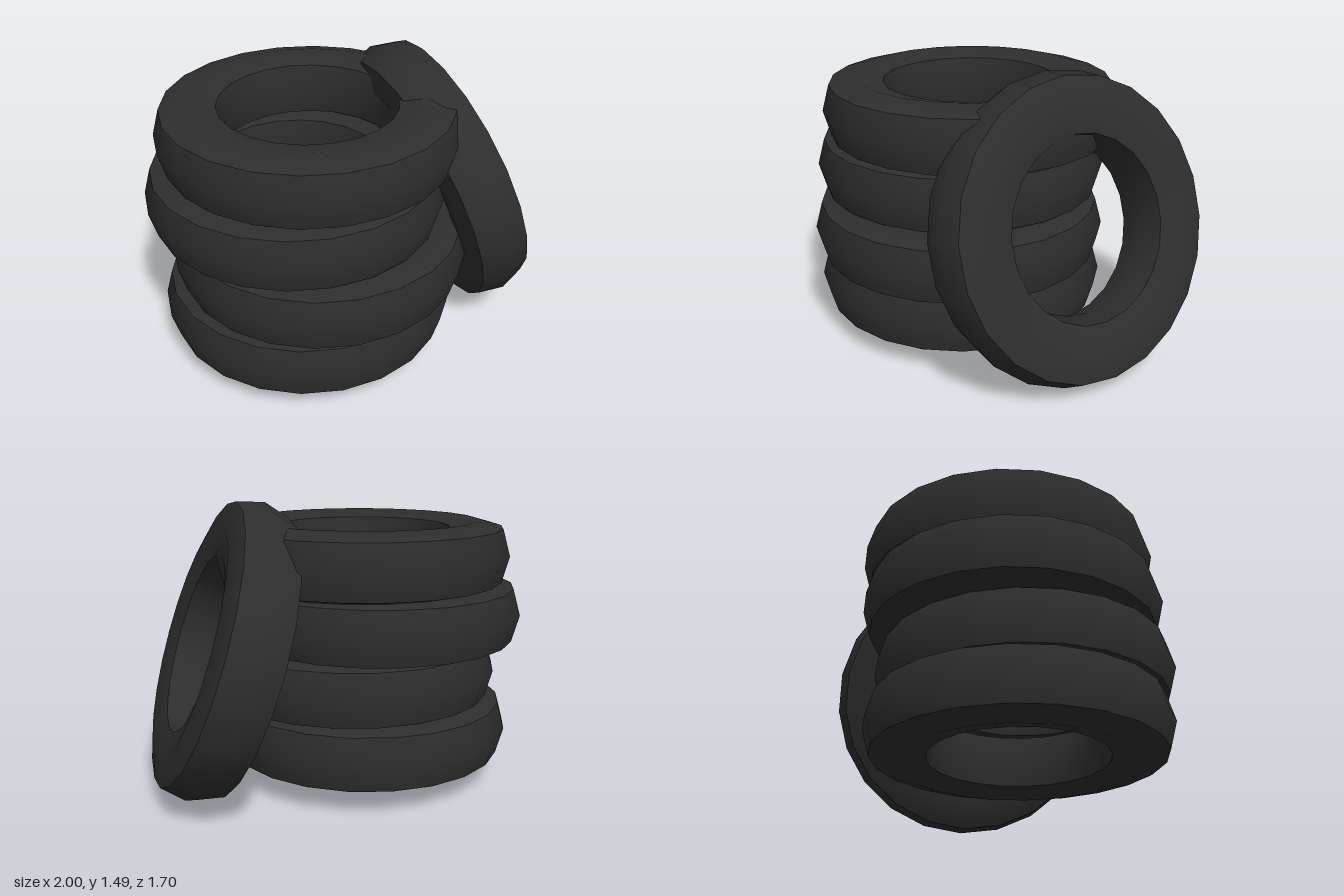
import * as THREE from 'three';
import { mergeGeometries } from 'three/addons/utils/BufferGeometryUtils.js';

const SEGMENTS = 22;

// Cross-section bands (radius, height); each is smooth, with creases between them
const BANDS = [
  [[0.738, -0.137], [0.776, 0], [0.738, 0.137]],          // tread
  [[0.738, 0.137], [0.605, 0.174], [0.459, 0.137]],       // upper sidewall
  [[0.459, 0.137], [0.43, 0], [0.459, -0.137]],           // bore
  [[0.459, -0.137], [0.605, -0.174], [0.738, -0.137]],    // lower sidewall
];

function tireGeometry() {
  const bands = BANDS.map((band) =>
    new THREE.LatheGeometry(band.map(([r, y]) => new THREE.Vector2(r, y)), SEGMENTS));
  // Put a corner of the polygon on the x axis
  return mergeGeometries(bands).rotateY(Math.PI / 2);
}

export function createModel() {
  const group = new THREE.Group();
  group.name = 'tireStack';

  const rubber = new THREE.MeshStandardMaterial({ color: 0x2e2e2e });
  rubber.name = 'black rubber';
  const geometry = tireGeometry();

  const addTire = (name, x, y, z) => {
    const tire = new THREE.Mesh(geometry, rubber);
    tire.name = name;
    tire.position.set(x, y, z);
    group.add(tire);
    return tire;
  };

  // Four loosely stacked tires, bottom to top
  const offsets = [[-0.18, 0.037], [-0.125, 0.083], [-0.224, 0], [-0.145, -0.01]];
  offsets.forEach(([x, z], i) => addTire(`stackedTire${i + 1}`, x, 0.274 + i * 0.3125, z));

  // One tire leaning against the left side of the stack
  const leaning = addTire('leaningTire', 0.633, 0.751, -0.08);
  leaning.rotation.z = THREE.MathUtils.degToRad(-71.6);

  return group;
}
